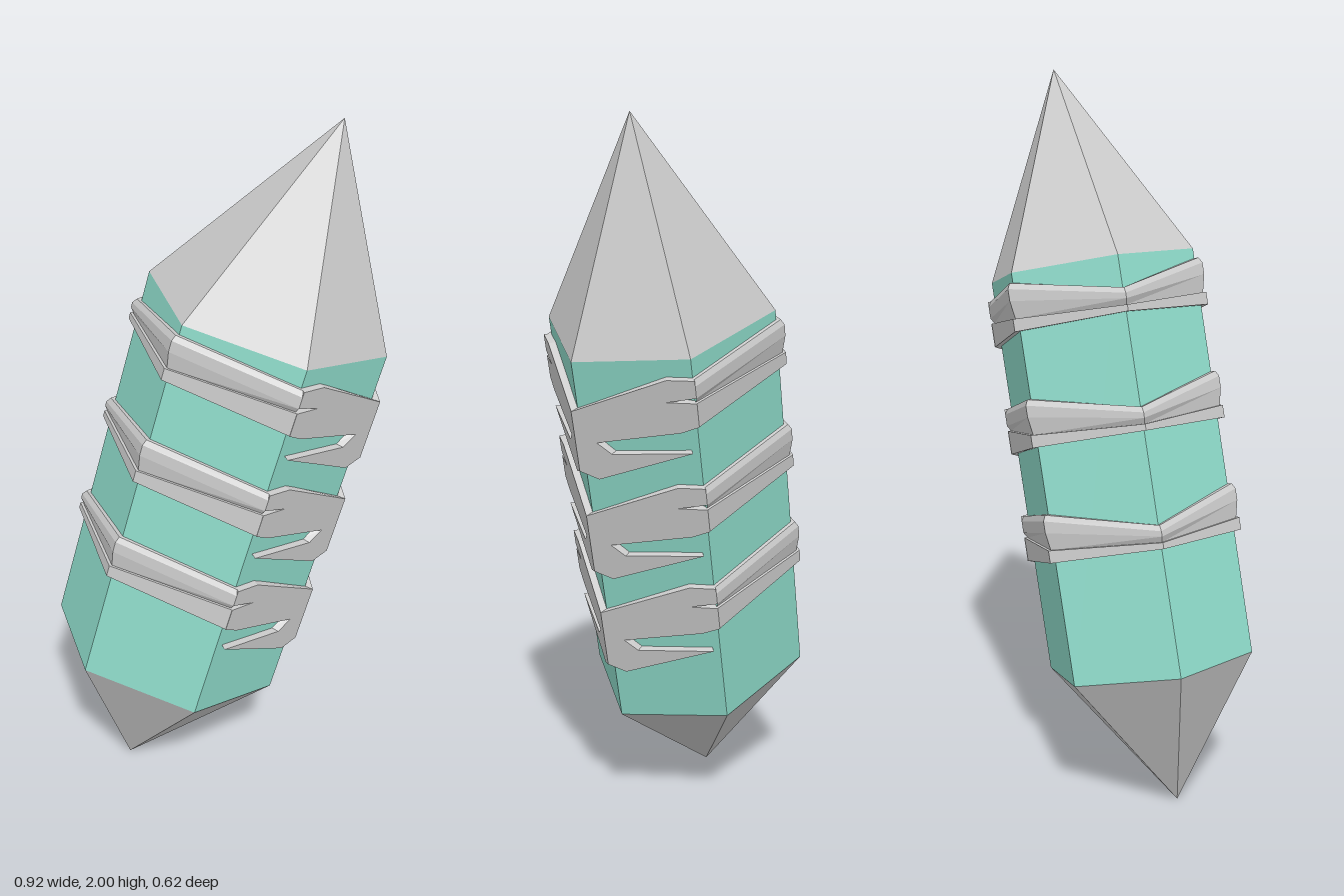
import * as THREE from 'three';

// Hexagonal cross-section, squashed in depth; corner 0 points to +x, corner 1 to +x +z
const RX = 0.335, RZ = 0.2916, HALF = 0.559, OUT = 1.07;
const corner = (i) => [RX * Math.cos((i * Math.PI) / 3), RZ * Math.sin((i * Math.PI) / 3)];

const grey = new THREE.MeshStandardMaterial({ color: 0xcccccc, flatShading: true, side: THREE.DoubleSide });
const teal = new THREE.MeshStandardMaterial({ color: 0x8fdccb, flatShading: true });

function part(name, geometry, material) {
  const mesh = new THREE.Mesh(geometry, material);
  mesh.name = name;
  return mesh;
}

// Six-sided point whose apex is shifted sideways
function tipGeometry(height, dx, dz, down) {
  const g = new THREE.ConeGeometry(1, height, 6, 1, true, Math.PI / 2);
  g.scale(RX, 1, RZ);
  g.translate(0, HALF + height / 2, 0);
  if (down) g.rotateX(Math.PI);
  const p = g.attributes.position;
  for (let i = 0; i < p.count; i++) {
    if (Math.abs(p.getY(i)) > HALF + height / 2) p.setXYZ(i, p.getX(i) + dx, p.getY(i), p.getZ(i) + dz);
  }
  g.computeVertexNormals();
  return g;
}

// Grooved strap round the four faces away from the chevron
function strapGeometry() {
  // Per corner: top, ridge bottom, groove bottom, strap bottom
  const levels = [
    [0.508, 0.46, 0.445, 0.378],
    [0.532, 0.485, 0.437, 0.403],
    [0.472, 0.443, 0.427, 0.41],
  ];
  const stations = [0, 1, 2, 1, 0];
  const pos = [], idx = [], n = 8;
  stations.forEach((k, i) => {
    const [x, z] = corner(i + 1);
    const [t, r, g, b] = levels[k];
    const section = [[t, 0.99], [t, 1.04], [t - 0.015, OUT], [r, OUT], [g, 1.035], [g, OUT - 0.005], [b, OUT - 0.005], [b, 0.99]];
    section.forEach(([y, s]) => pos.push(x * s, y, z * s));
    if (i === 0) return;
    for (let j = 0; j < n; j++) {
      const a = (i - 1) * n + j, d = (i - 1) * n + ((j + 1) % n);
      idx.push(a, a + n, d + n, a, d + n, d);
    }
  });
  const g = new THREE.BufferGeometry();
  g.setAttribute('position', new THREE.Float32BufferAttribute(pos, 3));
  g.setIndex(idx);
  const flat = g.toNonIndexed();
  flat.computeVertexNormals();
  return flat;
}

// Barbed plate on one +x face: [distance from corner 0, height], wrapped onto the face
function barbGeometry(side) {
  const outline = [
    [0, 0.43], [0.78, 0.512], [1, 0.508],
    [1, 0.46], [0.76, 0.45], [1, 0.445],
    [1, 0.378], [0.85, 0.362], [0.17, 0.338],
    [0.28, 0.304], [0.93, 0.302], [0.15, 0.23], [0, 0.255],
  ];
  const shape = new THREE.Shape(outline.map(([s, y]) => new THREE.Vector2(-side * s, y)));
  const g = new THREE.ExtrudeGeometry(shape, { depth: OUT - 0.99, bevelEnabled: false });
  const [x0, z0] = corner(0), [x1, z1] = corner(1);
  const p = g.attributes.position;
  for (let i = 0; i < p.count; i++) {
    const s = Math.abs(p.getX(i)), k = 0.99 + p.getZ(i);
    p.setXYZ(i, (x0 + (x1 - x0) * s) * k, p.getY(i), side * (z0 + (z1 - z0) * s) * k);
  }
  g.computeVertexNormals();
  return g;
}

export function createModel() {
  const model = new THREE.Group();
  model.name = 'bandedCrystal';

  // Crystal built upright, tilted at the end
  const crystal = new THREE.Group();
  crystal.name = 'crystal';
  const shaft = new THREE.CylinderGeometry(1, 1, HALF * 2, 6, 1, true, Math.PI / 2);
  shaft.scale(RX, 1, RZ);
  crystal.add(
    part('shaft', shaft, teal),
    part('upperTip', tipGeometry(0.558, 0.04, -0.01, false), grey),
    part('lowerTip', tipGeometry(0.405, -0.003, 0.02, true), grey)
  );

  // Three identical bands down the shaft
  const strap = strapGeometry(), front = barbGeometry(1), back = barbGeometry(-1);
  for (let i = 0; i < 3; i++) {
    const band = new THREE.Group();
    band.name = 'band' + (i + 1);
    band.add(part('strap', strap, grey), part('frontBarb', front, grey), part('backBarb', back, grey));
    band.position.y = -0.311 * i;
    crystal.add(band);
  }

  // Lean towards +x and slightly back
  const up = new THREE.Vector3(0.27, 1.08, -0.1).normalize();
  const depth = new THREE.Vector3(0.97, -0.24, 0.018).cross(up).normalize();
  const across = new THREE.Vector3().crossVectors(up, depth);
  crystal.quaternion.setFromRotationMatrix(new THREE.Matrix4().makeBasis(across, up, depth));
  crystal.position.y = 0.93;
  model.add(crystal);
  return model;
}
